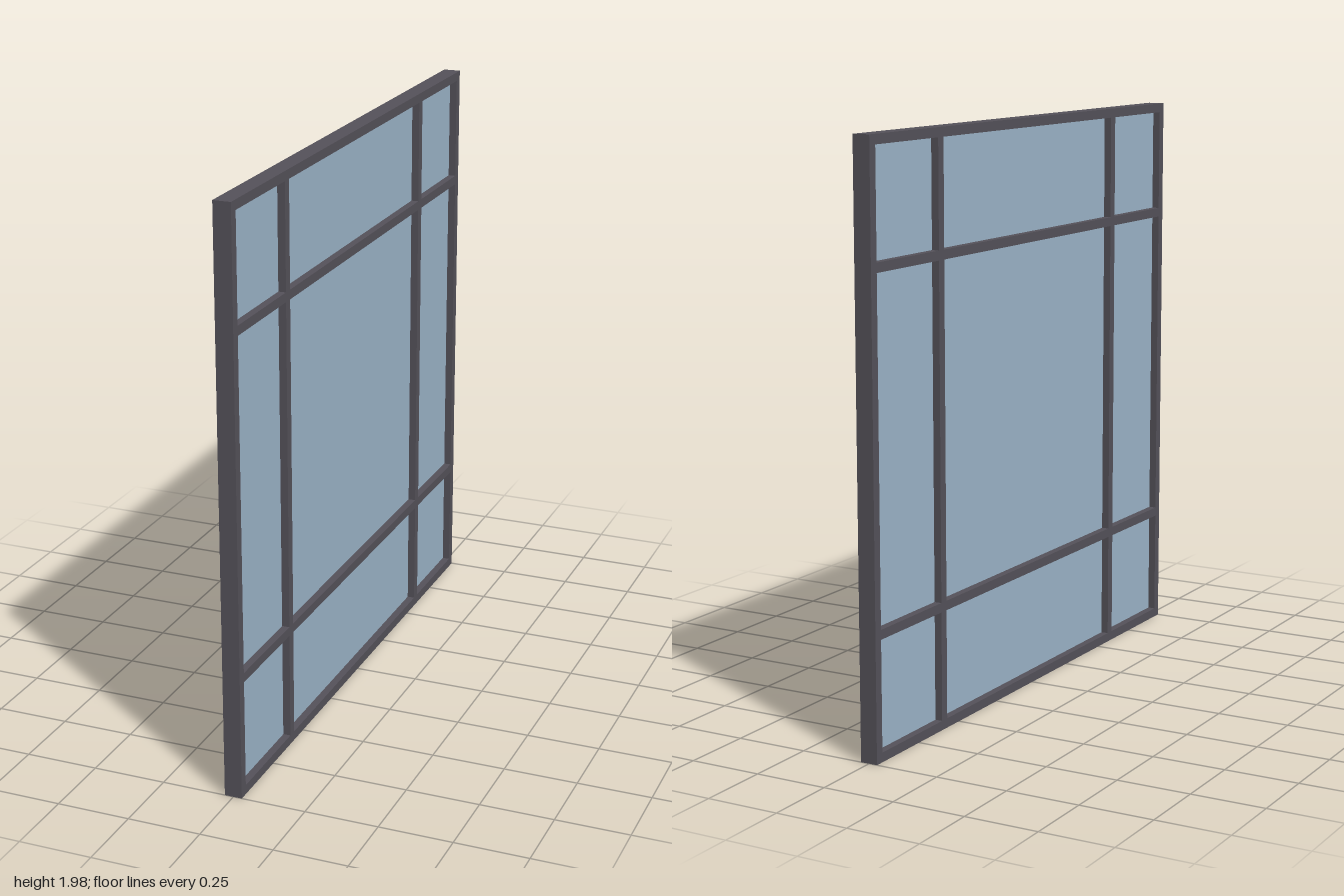
import * as THREE from 'three';

const HEIGHT = 1.976, WIDTH = 2, DEPTH = 0.06, BAR = 0.032;

export function createModel() {
  const root = new THREE.Group();
  root.name = 'windowPanel';

  const frameMaterial = new THREE.MeshStandardMaterial({ color: 0x55525a });
  frameMaterial.name = 'dark frame';
  const glassMaterial = new THREE.MeshStandardMaterial({ color: 0x9cb5c9 });
  glassMaterial.name = 'blue glass';

  const addBox = (name, material, [w, h, d], [x, y, z]) => {
    const mesh = new THREE.Mesh(new THREE.BoxGeometry(w, h, d), material);
    mesh.name = name;
    mesh.position.set(x, y, z);
    root.add(mesh);
  };

  // Outer stiles at both ends, running the full height
  for (const side of [1, -1]) {
    addBox(side > 0 ? 'frontStile' : 'backStile', frameMaterial,
      [DEPTH, HEIGHT, BAR], [0, HEIGHT / 2, side * (WIDTH - BAR) / 2]);
  }

  // Rails and horizontal glazing bars between the stiles
  const rails = { bottomRail: BAR / 2, lowerBar: 0.417, upperBar: 1.571, topRail: HEIGHT - BAR / 2 };
  for (const [name, y] of Object.entries(rails)) {
    addBox(name, frameMaterial, [DEPTH, BAR, WIDTH - 2 * BAR], [0, y, 0]);
  }

  // Vertical glazing bars, split where the horizontal bars cross
  const levels = Object.values(rails);
  for (const z of [0.591, -0.591]) {
    for (let i = 0; i < 3; i++) {
      addBox('verticalBar', frameMaterial,
        [DEPTH, levels[i + 1] - levels[i] - BAR, BAR],
        [0, (levels[i] + levels[i + 1]) / 2, z]);
    }
  }

  // Thin glass sheet in the middle of the frame depth
  addBox('glass', glassMaterial, [0.008, HEIGHT - BAR, WIDTH - BAR], [0, HEIGHT / 2, 0]);

  return root;
}
